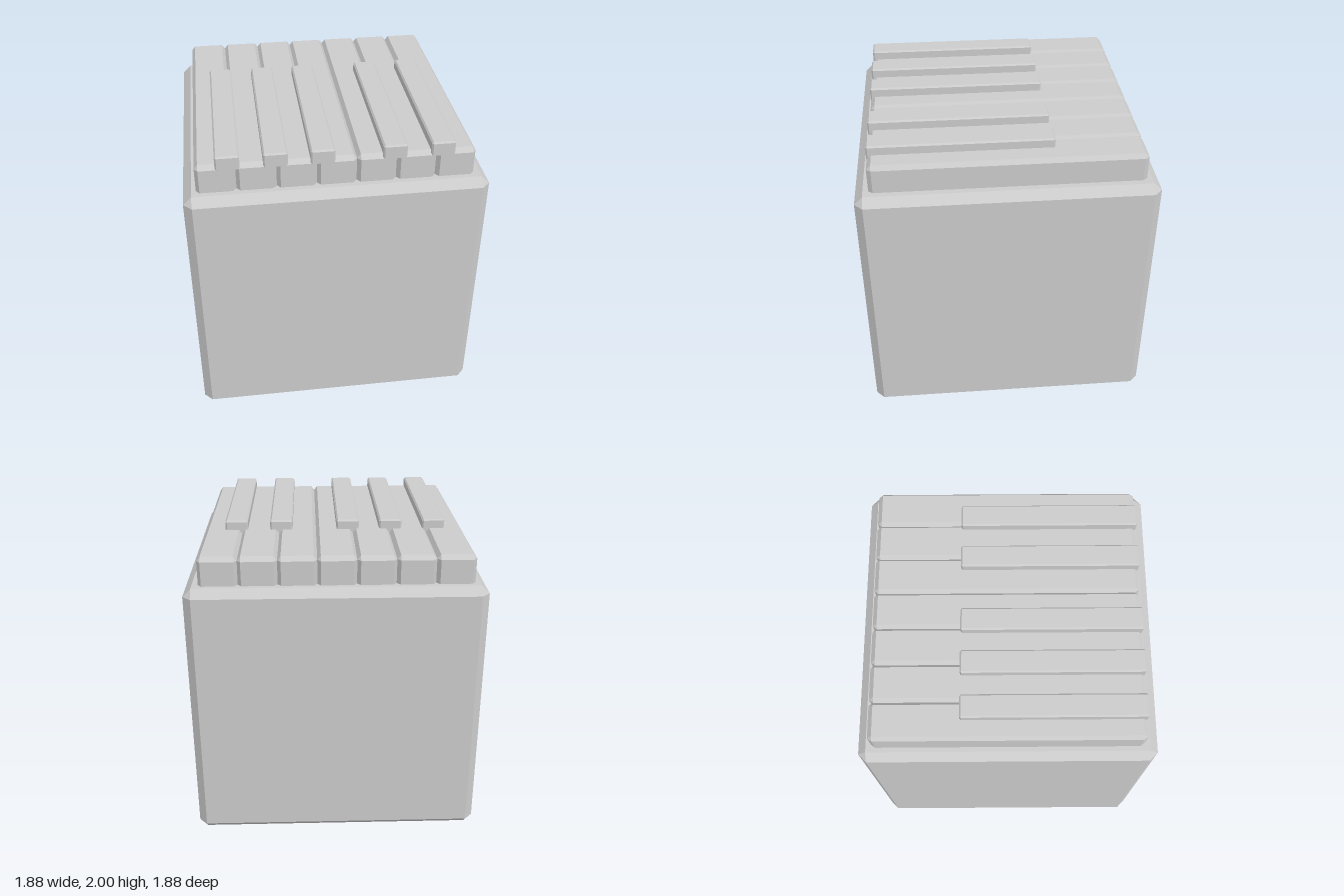
import * as THREE from 'three';
import { ConvexGeometry } from 'three/addons/geometries/ConvexGeometry.js';

const material = new THREE.MeshStandardMaterial({ color: 0xcccccc, flatShading: true });

// Box with flat chamfers [cx, cy, cz]; the bottom edges can be left square.
function chamferBox(name, [x0, x1], [y0, y1], [z0, z1], [cx, cy, cz], squareBottom = false) {
  const points = [];
  for (const sx of [0, 1]) for (const sy of [0, 1]) for (const sz of [0, 1]) {
    const x = sx ? x1 : x0, y = sy ? y1 : y0, z = sz ? z1 : z0;
    const ix = sx ? x - cx : x + cx, iz = sz ? z - cz : z + cz;
    const iy = sy ? y - cy : squareBottom ? y : y + cy;
    points.push(new THREE.Vector3(x, iy, iz), new THREE.Vector3(ix, iy, z));
    if (sy || !squareBottom) points.push(new THREE.Vector3(ix, y, iz));
  }
  const mesh = new THREE.Mesh(new ConvexGeometry(points), material);
  mesh.name = name;
  return mesh;
}

export function createModel() {
  const model = new THREE.Group();
  model.name = 'keyboardBlock';

  // Chamfered cube
  model.add(chamferBox('body', [-0.94, 0.94], [0, 1.757], [-0.94, 0.94], [0.052, 0.052, 0.052]));

  // Seven natural keys side by side, sunk slightly into the cube
  const keys = new THREE.Group();
  keys.name = 'naturalKeys';
  const pitch = 0.244;
  for (let i = 0; i < 7; i++) {
    const x = -0.859 + i * pitch;
    keys.add(chamferBox('naturalKey', [x, x + pitch], [1.72, 1.94], [-0.855, 0.853], [0.022, 0.028, 0.028], true));
  }
  model.add(keys);

  // Five raised keys in groups of three and two
  const raised = new THREE.Group();
  raised.name = 'raisedKeys';
  for (const x of [-0.662, -0.376, -0.093, 0.346, 0.641]) {
    raised.add(chamferBox('raisedKey', [x - 0.074, x + 0.074], [1.91, 2], [-0.295, 0.856], [0.01, 0.01, 0.01], true));
  }
  model.add(raised);

  return model;
}
